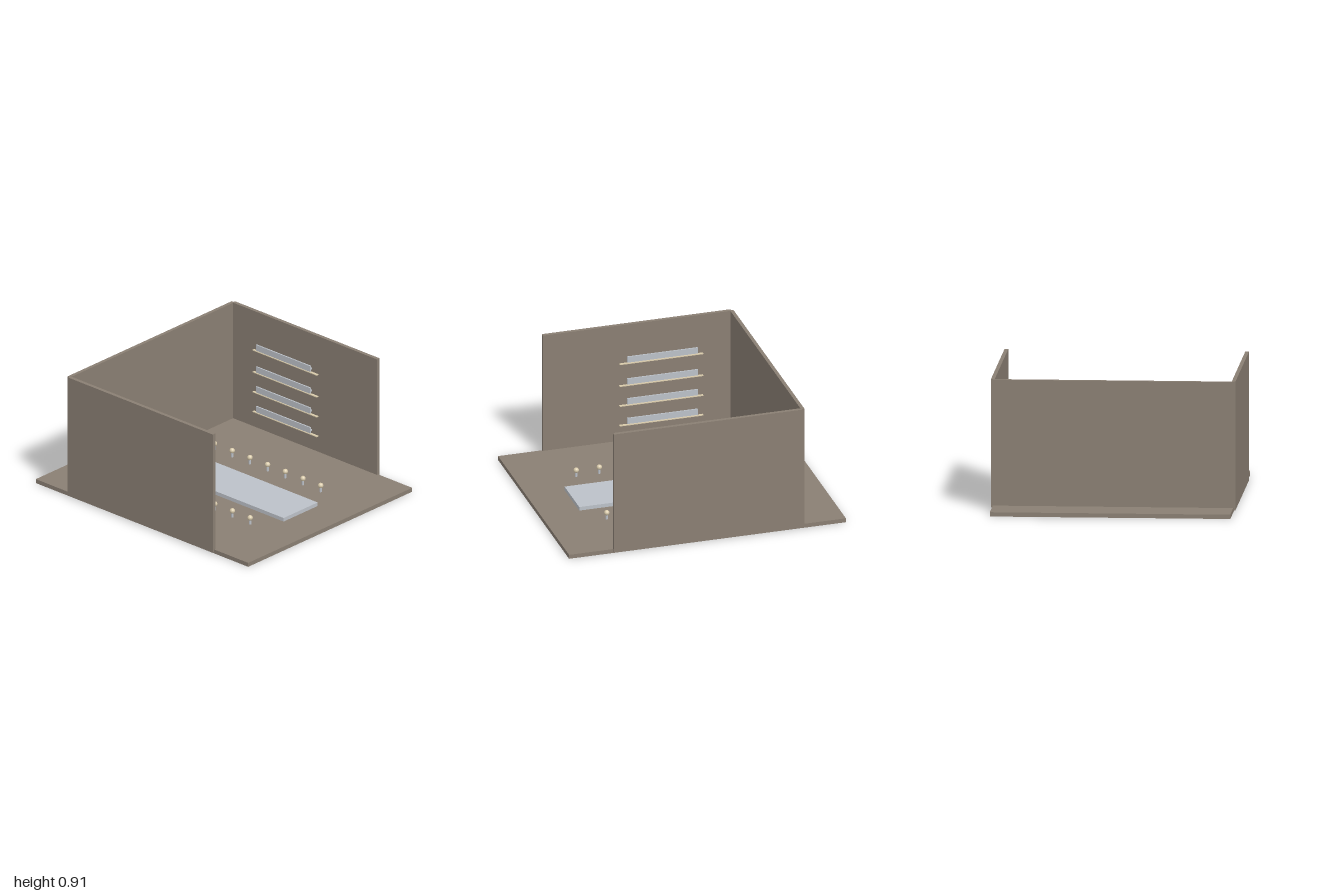
import * as THREE from 'three';

const mat = (name, color) => {
  const m = new THREE.MeshStandardMaterial({ color });
  m.name = name;
  return m;
};

export function createModel() {
  const model = new THREE.Group();
  const brown = mat('brown board', 0x8a7f73);
  const steel = mat('pale steel', 0xbcc1c8);
  const cream = mat('cream', 0xd8caab);

  // Box given by its minimum and maximum corners
  const box = (name, material, [x0, y0, z0], [x1, y1, z1], parent = model) => {
    const mesh = new THREE.Mesh(new THREE.BoxGeometry(x1 - x0, y1 - y0, z1 - z0), material);
    mesh.position.set((x0 + x1) / 2, (y0 + y1) / 2, (z0 + z1) / 2);
    mesh.name = name;
    parent.add(mesh);
  };

  // Floor, back wall and central strip
  box('floor', brown, [-0.832, 0, -1], [0.832, 0.03, 1]);
  box('backWall', brown, [-0.832, 0.03, -0.7], [0.832, 0.91, -0.675]);
  box('centreStrip', steel, [-0.174, 0.03, -0.577], [0.172, 0.057, 0.723]);

  // Side walls, each with four shallow ledges holding a thin plate
  for (const side of [-1, 1]) {
    const sideBox = (name, material, xIn, xOut, y0, y1, z0, z1, parent) =>
      box(name, material, [Math.min(side * xIn, side * xOut), y0, z0],
        [Math.max(side * xIn, side * xOut), y1, z1], parent);
    const group = new THREE.Group();
    group.name = side > 0 ? 'leftSide' : 'rightSide';
    model.add(group);
    sideBox('sideWall', brown, 0.82, 0.846, 0.012, 0.911, -0.682, 0.68, group);
    for (const y of [0.148, 0.298, 0.45, 0.617]) {
      sideBox('ledge', cream, 0.8, 0.821, y, y + 0.005, -0.475, 0.13, group);
      sideBox('ledgePlate', steel, 0.787, 0.797, y + 0.018, y + 0.062, -0.43, 0.08, group);
      // Small brackets tying the plate to the wall
      for (const z of [-0.42, 0.06])
        sideBox('bracket', steel, 0.795, 0.821, y + 0.024, y + 0.034, z, z + 0.01, group);
    }
  }

  // Two rows of round lamps on short posts
  const bulbGeo = new THREE.SphereGeometry(0.019, 20, 14);
  const postGeo = new THREE.CylinderGeometry(0.009, 0.009, 0.036, 14);
  for (const x of [-0.361, 0.355]) {
    for (let i = 0; i < 8; i++) {
      const lamp = new THREE.Group();
      lamp.name = 'lamp';
      lamp.position.set(x, 0, -0.586 + i * 0.1667);
      const post = new THREE.Mesh(postGeo, steel);
      post.name = 'lampPost';
      post.position.y = 0.047;
      const bulb = new THREE.Mesh(bulbGeo, cream);
      bulb.name = 'lampBulb';
      bulb.position.y = 0.078;
      lamp.add(post, bulb);
      model.add(lamp);
    }
  }
  return model;
}
